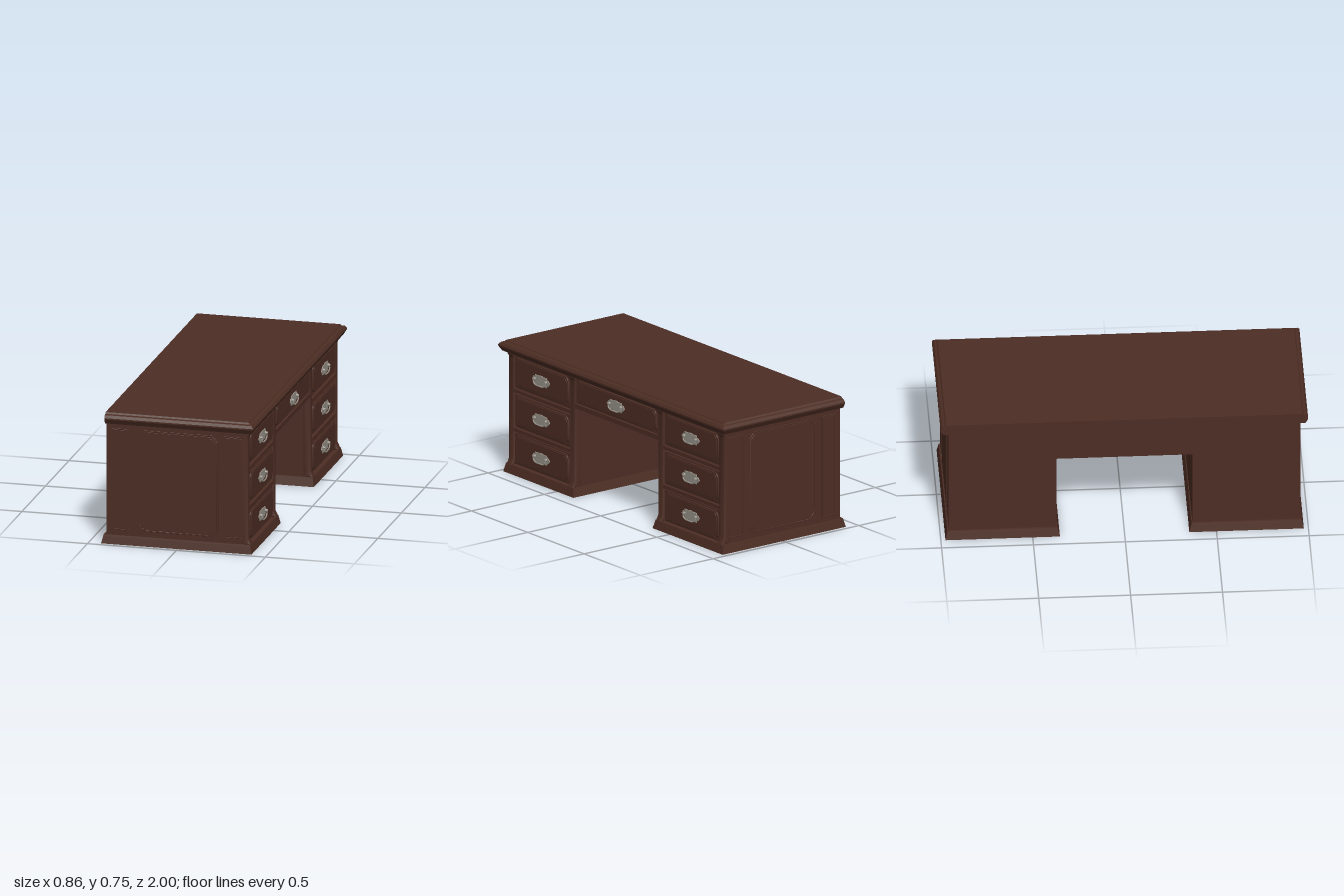
import * as THREE from 'three';
import { toCreasedNormals } from 'three/addons/utils/BufferGeometryUtils.js';

const wood = new THREE.MeshStandardMaterial({ color: 0x4c2d23 });
wood.name = 'dark walnut';
const metal = new THREE.MeshStandardMaterial({ color: 0x99938a });
metal.name = 'aged nickel';

function add(parent, name, geometry, material, x = 0, y = 0, z = 0, ry = 0) {
  const mesh = new THREE.Mesh(geometry, material);
  mesh.name = name;
  mesh.position.set(x, y, z);
  mesh.rotation.y = ry;
  parent.add(mesh);
  return mesh;
}

// box given by its limits
function block(parent, name, x0, x1, y0, y1, z0, z1) {
  return add(parent, name, new THREE.BoxGeometry(x1 - x0, y1 - y0, z1 - z0), wood,
    (x0 + x1) / 2, (y0 + y1) / 2, (z0 + z1) / 2);
}

// chain of rectangles [y, x0, x1, z0, z1], closed at both ends
function loft(levels) {
  const pos = [], idx = [];
  for (const [y, x0, x1, z0, z1] of levels) {
    pos.push(x0, y, z1, x1, y, z1, x1, y, z0, x0, y, z0);
  }
  for (let l = 0; l < levels.length - 1; l++) {
    for (let i = 0; i < 4; i++) {
      const a = l * 4 + i, b = l * 4 + (i + 1) % 4;
      idx.push(a, b, b + 4, a, b + 4, a + 4);
    }
  }
  const t = (levels.length - 1) * 4;
  idx.push(0, 2, 1, 0, 3, 2, t, t + 1, t + 2, t, t + 2, t + 3);
  const g = new THREE.BufferGeometry();
  g.setAttribute('position', new THREE.Float32BufferAttribute(pos, 3));
  g.setIndex(idx);
  const flat = g.toNonIndexed();
  flat.computeVertexNormals();
  return flat;
}

// rectangle outline with scooped, stepped corners of size r (r = 0 is plain)
function outline(w, h, r) {
  const pts = [];
  const s = r * 0.25;
  for (let c = 0; c < 4; c++) {
    const sx = c === 0 || c === 3 ? 1 : -1, sy = c < 2 ? 1 : -1;
    const corner = [];
    if (r === 0) corner.push([w / 2, h / 2]);
    else {
      corner.push([w / 2, h / 2 - r]);
      for (let i = 0; i <= 4; i++) {
        const a = (i / 4) * Math.PI / 2, k = r - s;
        corner.push([w / 2 - s - k * 0.5 * (1 - Math.cos(a)) - k * 0.5 * i / 4,
          h / 2 - r + k * 0.5 * Math.sin(a) + k * 0.5 * i / 4]);
      }
      corner.push([w / 2 - r, h / 2]);
    }
    if (sx * sy < 0) corner.reverse();
    for (const [x, y] of corner) pts.push(new THREE.Vector2(sx * x, sy * y));
  }
  return pts;
}

function extrude(shape, depth, bevel) {
  return toCreasedNormals(new THREE.ExtrudeGeometry(shape, {
    depth, bevelEnabled: bevel > 0, bevelSize: bevel, bevelOffset: -bevel,
    bevelThickness: bevel, bevelSegments: 1, curveSegments: 8,
  }), 0.5);
}

// raised moulding that follows an outline
function moulding(w, h, r, t) {
  const shape = new THREE.Shape(outline(w, h, r));
  shape.holes.push(new THREE.Path(outline(w - 2 * t, h - 2 * t, r).reverse()));
  return extrude(shape, 0.004, 0.001);
}

// drop handle, facing local +z
function makeHandle() {
  const g = new THREE.Group();
  g.name = 'drawerHandle';
  const half = [[0.08, 0], [0.068, 0.015], [0.056, 0.017], [0.052, 0.028], [0.02, 0.028], [0.012, 0.031]];
  const pts = [];
  for (const [x, y] of half) pts.push(new THREE.Vector2(x, y));
  for (const [x, y] of half.slice().reverse()) pts.push(new THREE.Vector2(-x, y));
  for (const [x, y] of half.slice(1)) pts.push(new THREE.Vector2(-x, -y));
  for (const [x, y] of half.slice(1).reverse()) pts.push(new THREE.Vector2(x, -y));
  add(g, 'handlePlate', extrude(new THREE.Shape(pts), 0.002, 0.0015), metal);
  for (const s of [-1, 1]) {
    const post = add(g, 'handlePost', new THREE.CylinderGeometry(0.007, 0.009, 0.014, 12), metal, s * 0.05, 0.004, 0.01);
    post.rotation.x = Math.PI / 2;
  }
  const bail = new THREE.CatmullRomCurve3([
    [-0.05, 0.004, 0.012], [-0.052, -0.012, 0.013], [-0.035, -0.024, 0.014], [0, -0.026, 0.015],
    [0.035, -0.024, 0.014], [0.052, -0.012, 0.013], [0.05, 0.004, 0.012],
  ].map(p => new THREE.Vector3(...p)));
  add(g, 'handleBail', new THREE.TubeGeometry(bail, 32, 0.004, 8), metal);
  return g;
}

// drawer front with raised scooped panel, centred on (y, z)
function addDrawer(parent, y, z, w, h) {
  const g = new THREE.Group();
  g.name = 'drawer';
  g.position.set(0.372, y, z);
  g.rotation.y = Math.PI / 2;
  add(g, 'drawerFront', extrude(new THREE.Shape(outline(w, h, 0)), 0.008, 0.004), wood);
  add(g, 'drawerPanel', extrude(new THREE.Shape(outline(w - 0.022, h - 0.022, 0.022)), 0.016, 0.003), wood);
  add(g, 'drawerField', extrude(new THREE.Shape(outline(w - 0.04, h - 0.04, 0.022)), 0.02, 0.0015), wood);
  const handle = makeHandle();
  handle.position.z = 0.022;
  g.add(handle);
  parent.add(g);
}

// corner post with flared head and foot, rounded across its width
function stileGeometry(width) {
  const s = new THREE.Shape();
  s.moveTo(0.35, 0.048);
  s.lineTo(0.406, 0.048);
  s.lineTo(0.402, 0.058);
  s.lineTo(0.391, 0.082);
  s.lineTo(0.391, 0.65);
  s.quadraticCurveTo(0.393, 0.665, 0.404, 0.674);
  s.lineTo(0.404, 0.69);
  s.lineTo(0.35, 0.69);
  s.closePath();
  const b = 0.008;
  const g = new THREE.ExtrudeGeometry(s, {
    depth: width - 2 * b, bevelEnabled: true, bevelSize: b, bevelOffset: -b,
    bevelThickness: b, bevelSegments: 3, curveSegments: 6,
  });
  g.translate(0, 0, -(width - 2 * b) / 2);
  return toCreasedNormals(g, 0.6);
}

function makePedestal(side) {
  const g = new THREE.Group();
  g.name = side > 0 ? 'leftPedestal' : 'rightPedestal';
  const span = (a, b) => side > 0 ? [a, b] : [-b, -a];

  block(g, 'carcass', -0.405, 0.372, 0.047, 0.69, ...span(0.37, 0.957));
  // hollow skirt: recessed floor, inner wall down to the rim, outer wall back up
  add(g, 'plinth', loft([
    [0.046, -0.408, 0.394, ...span(0.374, 0.954)],
    [0, -0.426, 0.411, ...span(0.356, 0.971)],
    [0, -0.43, 0.415, ...span(0.352, 0.975)],
    [0.042, -0.42, 0.406, ...span(0.363, 0.966)],
    [0.05, -0.418, 0.404, ...span(0.365, 0.964)],
  ]), wood);
  for (const z of [0.391, 0.935]) add(g, 'frontStile', stileGeometry(0.046), wood, 0, 0, side * z);
  for (const y of [0.247, 0.469, 0.677]) {
    block(g, 'drawerRail', 0.36, 0.389, y - 0.01, y + 0.01, ...span(0.41, 0.916));
  }

  for (const y of [0.143, 0.361, 0.583]) addDrawer(g, y, side * 0.665, 0.498, 0.182);

  // mouldings on the outer side
  const ry = side > 0 ? 0 : Math.PI;
  const z = side * 0.955;
  add(g, 'sidePanelMoulding', moulding(0.462, 0.574, 0.034, 0.008), wood, -0.007, 0.366, z, ry);
  add(g, 'sidePanelField', extrude(new THREE.Shape(outline(0.442, 0.554, 0.034)), 0.003, 0.001), wood, -0.007, 0.366, z, ry);
  for (const x of [-0.325, 0.31]) {
    add(g, 'narrowPanelMoulding', moulding(0.1, 0.574, 0, 0.006), wood, x, 0.366, z, ry);
    add(g, 'narrowPanelField', extrude(new THREE.Shape(outline(0.085, 0.559, 0)), 0.003, 0.001), wood, x, 0.366, z, ry);
  }
  return g;
}

export function createModel() {
  const desk = new THREE.Group();
  desk.name = 'pedestalDesk';

  // top with a moulded edge on three sides and a flat back
  add(desk, 'deskTop', loft([
    [0.685, 0.415], [0.692, 0.419], [0.711, 0.43], [0.719, 0.43],
    [0.733, 0.42], [0.737, 0.406], [0.745, 0.4],
  ].map(([y, x]) => [y, -0.405, x, -(x + 0.57), x + 0.57])), wood);

  // centre section over the knee space
  const centre = new THREE.Group();
  centre.name = 'centreSection';
  block(centre, 'centreCarcass', -0.403, 0.372, 0.5, 0.69, -0.371, 0.371);
  block(centre, 'centreLowerRail', 0.36, 0.389, 0.5, 0.526, -0.37, 0.37);
  block(centre, 'centreUpperRail', 0.36, 0.387, 0.681, 0.69, -0.37, 0.37);
  addDrawer(centre, 0.604, 0, 0.732, 0.148);
  desk.add(centre);

  desk.add(makePedestal(1), makePedestal(-1));
  return desk;
}
